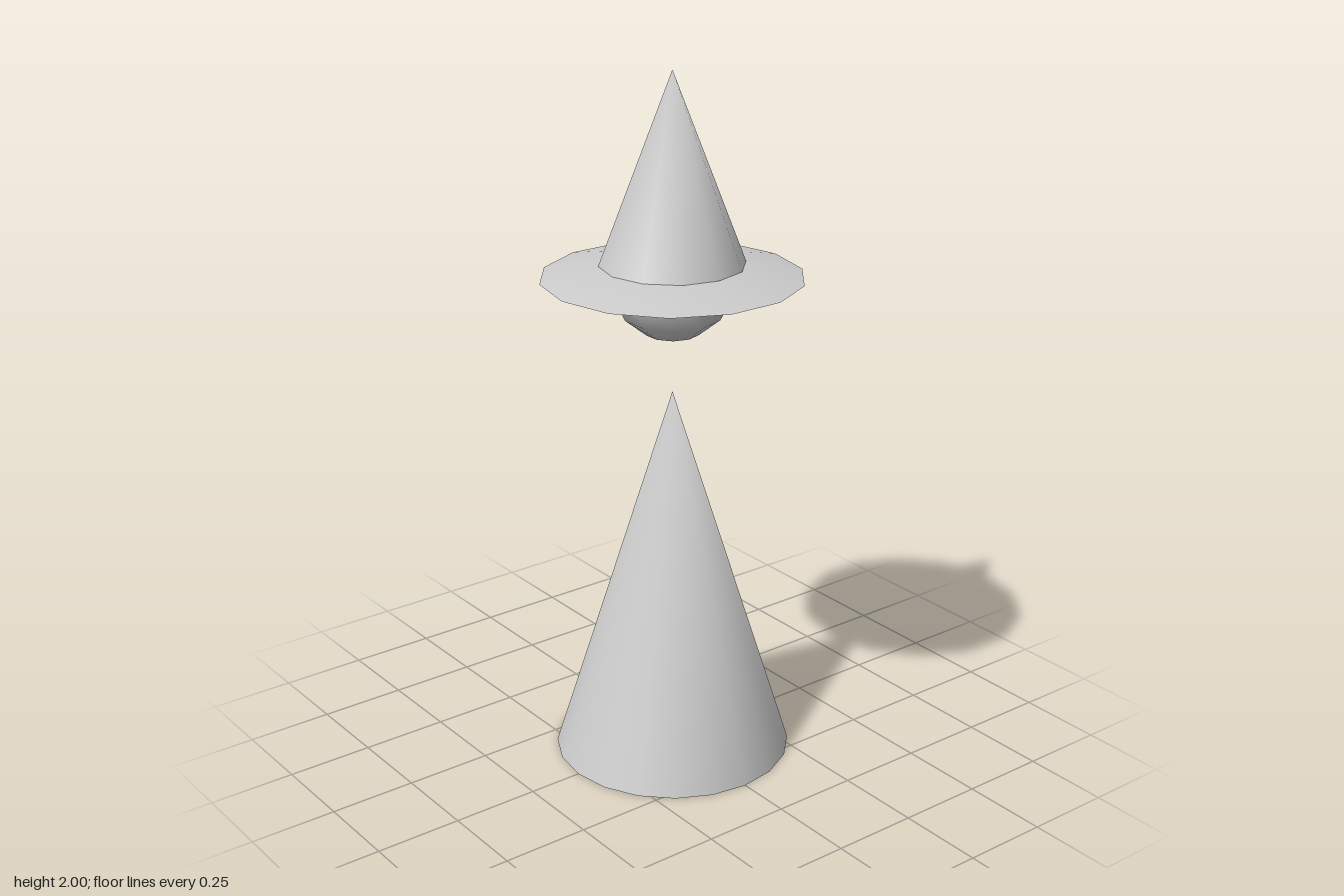
import * as THREE from 'three';

export function createModel() {
  const model = new THREE.Group();
  const paleGrey = new THREE.MeshStandardMaterial({ color: 0xcccccc, side: THREE.DoubleSide });
  paleGrey.name = 'paleGrey';

  const add = (name, geometry, y) => {
    const mesh = new THREE.Mesh(geometry, paleGrey);
    mesh.name = name;
    mesh.position.y = y;
    model.add(mesh);
    return mesh;
  };

  // Open cone standing on its rim, shaded smoothly over a shared tip
  const cone = (radius, height, sides) => {
    const geometry = new THREE.ConeGeometry(radius, height, sides, 1, true);
    geometry.translate(0, height / 2, 0);
    const { position, normal } = geometry.attributes;
    for (let i = 0; i < position.count; i++) {
      if (position.getY(i) > height * 0.99) normal.setXYZ(i, 0, 1, 0);
    }
    return geometry;
  };

  // Robe
  add('body', cone(0.342, 1.1, 20), 0);

  // Head, a coarse ball floating above the robe
  add('head', new THREE.SphereGeometry(0.175, 10, 7).rotateY(Math.PI / 2), 1.43);

  // Pointed hat: shallow brim and tall crown
  add('hatBrim', cone(0.366, 0.08, 14).rotateY(Math.PI / 2), 1.433);
  add('hatCrown', cone(0.203, 0.53, 12), 1.47);

  return model;
}
